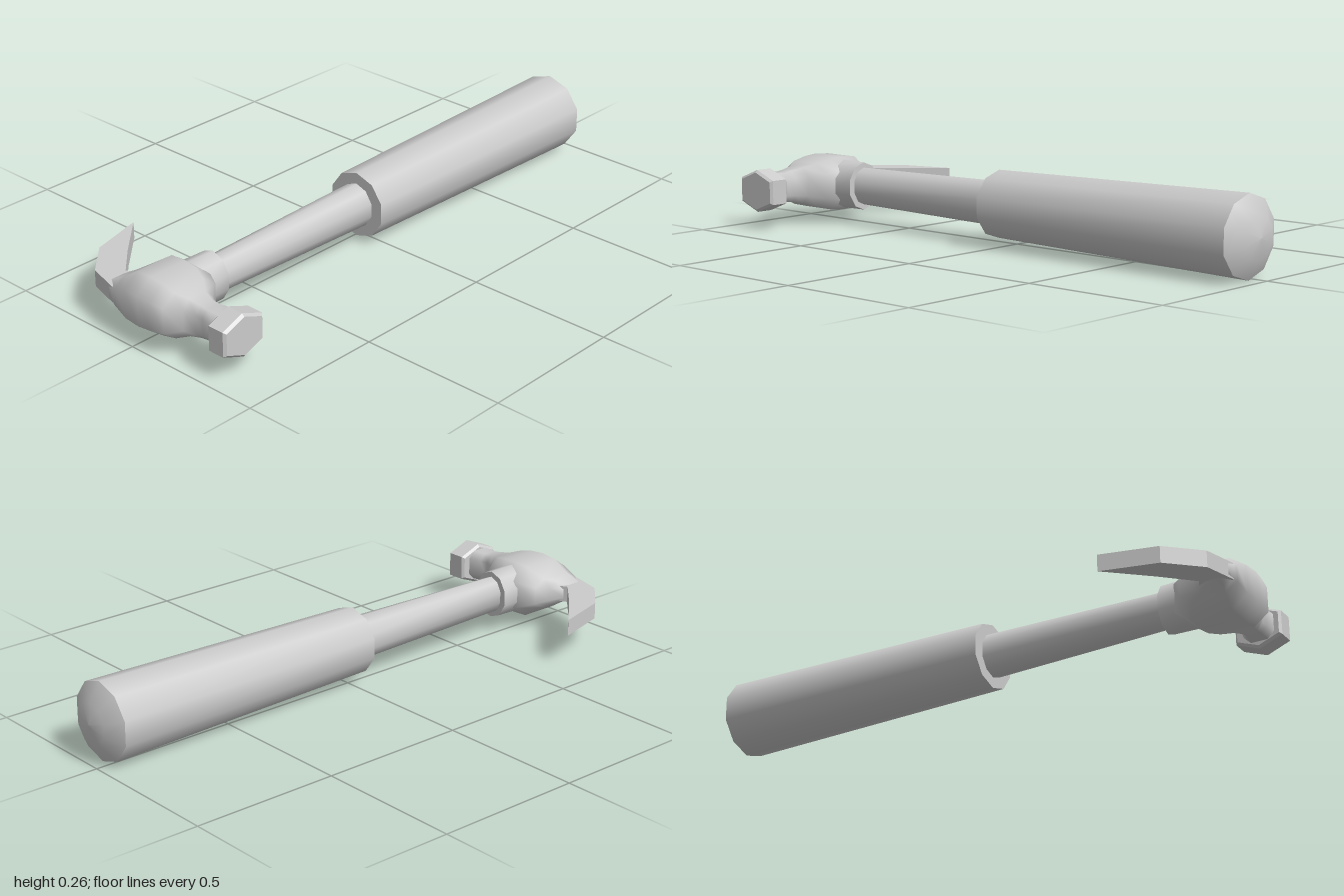
import * as THREE from 'three';

const material = new THREE.MeshStandardMaterial({ color: 0xcccccc, side: THREE.DoubleSide });
const AXIS_Y = 0.135, AXIS_Z = 0.032;

function part(name, geometry) {
  const mesh = new THREE.Mesh(geometry, material);
  mesh.name = name;
  return mesh;
}

// Skin over closed rings of [x, y, z] points, with smooth normals
function loft(rings) {
  const n = rings[0].length, index = [];
  for (let i = 0; i < rings.length - 1; i++) {
    for (let j = 0; j < n; j++) {
      const a = i * n + j, b = i * n + (j + 1) % n;
      index.push(a, a + n, b, b, a + n, b + n);
    }
  }
  const geometry = new THREE.BufferGeometry();
  geometry.setAttribute('position', new THREE.Float32BufferAttribute(rings.flat(2), 3));
  geometry.setIndex(index);
  geometry.computeVertexNormals();
  return geometry;
}

// Ten-sided elliptical ring around the handle axis
function handleRing(x, ry, rz) {
  return Array.from({ length: 10 }, (_, i) => {
    const t = i / 10 * Math.PI * 2;
    return [x, AXIS_Y + ry * Math.cos(t), AXIS_Z - rz * Math.sin(t)];
  });
}

// Ten-sided turned piece along the handle; profile is [radius, x]
function turned(name, profile) {
  const points = profile.map(([r, x]) => new THREE.Vector2(r, x));
  const geometry = new THREE.LatheGeometry(points, 10, Math.PI / 2);
  geometry.rotateZ(-Math.PI / 2);
  geometry.translate(0, AXIS_Y, AXIS_Z);
  return part(name, geometry);
}

export function createModel() {
  const hammer = new THREE.Group();
  hammer.name = 'hammer';

  // Handle: shaft, grip sleeve and its ends
  hammer.add(
    part('shaft', loft([handleRing(0, 0.076, 0.07), handleRing(-0.72, 0.064, 0.047)])),
    turned('grip', [[0.113, -0.05], [0.132, 0.955]]),
    turned('gripShoulder', [[0, -0.05], [0.113, -0.05]]),
    turned('gripCap', [[0.132, 0.955], [0.07, 0.992], [0, 1]]),
  );

  // Collar where the shaft enters the head
  hammer.add(
    part('collar', loft([handleRing(-0.69, 0.083, 0.07), handleRing(-0.82, 0.085, 0.075)])),
    part('collarFace', loft([handleRing(-0.69, 0.06, 0.043), handleRing(-0.69, 0.083, 0.07)])),
  );

  // Head: octagonal sections from striking end to claw [z, xMin, xMax, halfHeight]
  const sections = [
    [0.3, -0.937, -0.828, 0.053], [0.24, -0.932, -0.843, 0.051],
    [0.21, -0.932, -0.845, 0.055], [0.17, -0.945, -0.825, 0.063],
    [0.13, -0.988, -0.775, 0.077], [0.08, -0.994, -0.75, 0.089],
    [0.03, -0.998, -0.745, 0.093], [-0.03, -0.994, -0.745, 0.089],
    [-0.085, -0.987, -0.79, 0.053], [-0.105, -0.981, -0.84, 0.042],
    [-0.135, -0.972, -0.885, 0.028],
  ];
  const octagon = [[1, -0.55], [1, 0.55], [0.55, 1], [-0.55, 1],
    [-1, 0.55], [-1, -0.55], [-0.55, -1], [0.55, -1]];
  hammer.add(part('head', loft(sections.map(([z, x0, x1, h]) =>
    octagon.map(([u, v]) => [(x0 + x1) / 2 + u * (x1 - x0) / 2, AXIS_Y + v * h, z])))));

  // Curved claw, flat top and bottom
  const clawOutline = [[-0.982, -0.1], [-0.95, -0.215], [-0.845, -0.315], [-0.66, -0.365],
    [-0.795, -0.24], [-0.888, -0.145], [-0.865, -0.1]];
  const claw = new THREE.ExtrudeGeometry(
    new THREE.Shape(clawOutline.map(([x, z]) => new THREE.Vector2(x, -z))),
    { depth: 0.056, bevelEnabled: false });
  claw.rotateX(-Math.PI / 2);
  claw.translate(0, AXIS_Y - 0.028, 0);
  hammer.add(part('claw', claw));

  // Bevelled hexagonal striking face
  const hexagon = [[0, 0.064], [-0.072, 0.036], [-0.072, -0.036],
    [0, -0.064], [0.072, -0.036], [0.072, 0.036]];
  const face = new THREE.ExtrudeGeometry(
    new THREE.Shape(hexagon.map(([x, y]) => new THREE.Vector2(x, y))),
    { depth: 0.059, bevelThickness: 0.008, bevelSize: 0.008, bevelSegments: 1 });
  face.translate(-0.88, 0.133, 0.294);
  hammer.add(part('strikingFace', face));

  return hammer;
}
